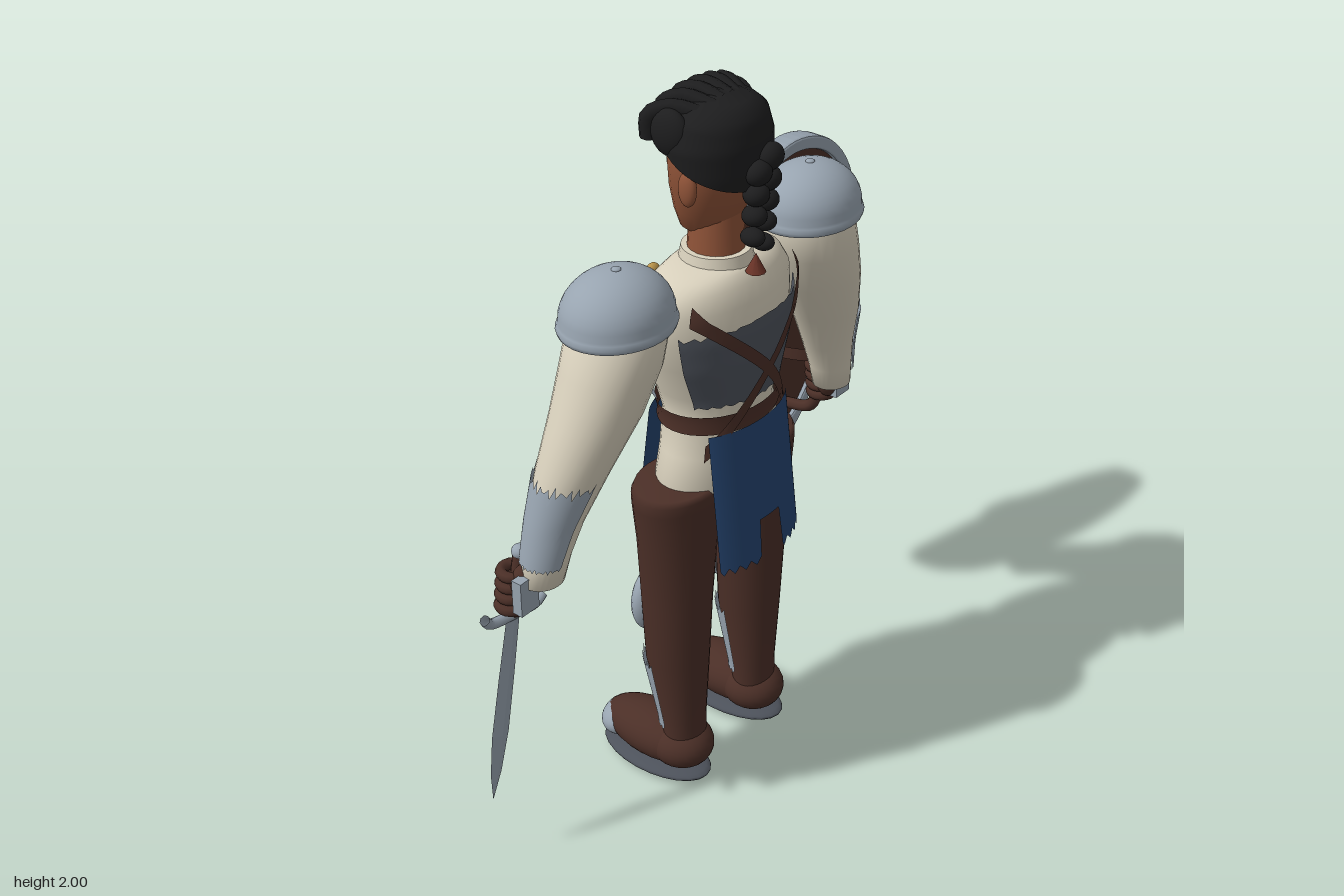
import * as THREE from 'three';

const mat = (name, color, side = THREE.FrontSide) => Object.assign(new THREE.MeshStandardMaterial({ color, side }), { name });
const { PI, sin, cos, abs, max } = Math;

// Grid surface from a rule f(u, v); outward = dv x du
function grid(nu, nv, f, closed) {
  const pos = [], idx = [], w = closed ? nu : nu + 1;
  for (let j = 0; j <= nv; j++) for (let i = 0; i < w; i++) pos.push(...f(i / nu, j / nv));
  for (let j = 0; j < nv; j++) for (let i = 0; i < nu; i++) {
    const k = (i + 1) % w, a = j * w + i, b = a + w, c = j * w + k, d = c + w;
    idx.push(a, b, c, c, b, d);
  }
  const g = new THREE.BufferGeometry();
  g.setAttribute('position', new THREE.Float32BufferAttribute(pos, 3));
  g.setIndex(idx);
  g.computeVertexNormals();
  return g;
}

// Rings are [y, cx, cz, rx, rz]
const onRing = ([y, cx, cz, rx, rz], t, o = 0) => [cx + (rx + o) * cos(t), y, cz + (rz + o) * sin(t)];
const loft = (rings, n = 28) =>
  grid(n, rings.length - 1, (u, v) => onRing(rings[Math.round(v * (rings.length - 1))], u * 2 * PI), true);
function ringAt(rings, y) {
  let i = 0;
  while (i < rings.length - 2 && rings[i + 1][0] < y) i++;
  const a = rings[i], b = rings[i + 1], k = Math.min(1, max(0, (y - a[0]) / (b[0] - a[0])));
  return [y, ...[1, 2, 3, 4].map(n => a[n] + (b[n] - a[n]) * k)];
}
// Part of a loft around angle mid, with its edges given by functions of the angle
const shell = (rings, mid, half, bot, top, o = 0, nu = 32, nv = 14) =>
  grid(nu, nv, (u, v) => {
    const t = mid + (u * 2 - 1) * half, lo = bot(t), hi = top(t);
    return onRing(ringAt(rings, lo + (hi - lo) * v), t, o);
  }, half >= PI);

export function createModel() {
  const D = THREE.DoubleSide;
  const skin = mat('skin', 0x8f5338), hair = mat('hair', 0x1d1d1e, D), cream = mat('cream cloth', 0xd9d1bd);
  const brown = mat('brown leather', 0x4b2f27, D), blue = mat('blue cloth', 0x25446f, D), steel = mat('steel', 0x98a4b0, D);
  const dark = mat('dark steel', 0x4d525b, D), gold = mat('gold', 0xb8934a), lip = mat('lips', 0x6b3428);

  const model = new THREE.Group(), body = new THREE.Group();
  body.name = 'body';
  body.position.x = -0.095;
  model.add(body);
  const add = (parent, name, geo, m, x = 0, y = 0, z = 0) => {
    const o = new THREE.Mesh(geo, m);
    o.name = name;
    o.position.set(x, y, z);
    parent.add(o);
    return o;
  };
  const ball = (parent, name, m, x, y, z, sx, sy, sz) => {
    const o = add(parent, name, new THREE.SphereGeometry(1, 24, 16), m, x, y, z);
    o.scale.set(sx, sy, sz);
    return o;
  };
  const box = (parent, name, m, x, y, z, w, h, d) => add(parent, name, new THREE.BoxGeometry(w, h, d), m, x, y, z);
  const tube = (parent, name, m, pts, r, n = 20) =>
    add(parent, name, new THREE.TubeGeometry(new THREE.CatmullRomCurve3(pts.map(p => new THREE.Vector3(...p))), n, r, 8), m);

  // Torso
  const torso = [[0.768, 0, 0.13, 0.001, 0.001], [0.78, 0, 0.13, 0.05, 0.07], [0.84, 0, 0.12, 0.13, 0.1], [0.9, 0, 0.11, 0.19, 0.12],
    [0.965, 0, 0.11, 0.208, 0.128], [1.05, 0, 0.11, 0.185, 0.125], [1.15, 0, 0.107, 0.165, 0.125], [1.22, 0, 0.1, 0.18, 0.138],
    [1.32, 0, 0.095, 0.222, 0.152], [1.4, 0, 0.095, 0.24, 0.152], [1.47, 0, 0.097, 0.245, 0.138], [1.515, 0, 0.1, 0.215, 0.118],
    [1.537, 0, 0.1, 0.17, 0.1], [1.55, 0, 0.1, 0.09, 0.085], [1.551, 0, 0.1, 0.001, 0.001]];
  add(body, 'shirt', loft(torso, 36), cream);
  add(body, 'collar', new THREE.CylinderGeometry(0.088, 0.1, 0.06, 28), cream, 0, 1.545, 0.1);
  add(body, 'neck', new THREE.CylinderGeometry(0.066, 0.075, 0.15, 20), skin, 0, 1.61, 0.1);
  const jag = (t, a) => a * abs(((t * 5) % 1 + 1) % 1 - 0.5);
  add(body, 'breastplate', shell(torso, -PI / 2, 1.3, () => 1.2, t => 1.42 + 0.06 * cos(t) ** 2, 0.017), steel);
  add(body, 'backplate', shell(torso, PI / 2, 1.12, t => 1.2 + jag(t, 0.02), t => 1.43 - jag(t, 0.04) * abs(cos(t)), 0.012), dark);
  add(body, 'belt', shell(torso, 0, PI, () => 1.125, () => 1.177, 0.013, 36, 2), brown);
  for (const s of [-1, 1]) {
    const strap = shell(torso, PI / 2, 0.95, t => 1.28 + s * cos(t) * 0.25 - 0.02, t => 1.28 + s * cos(t) * 0.25 + 0.025, 0.024, 24, 2);
    add(body, 'crossStrap', strap, brown);
    ball(body, 'button', gold, s * 0.1, 1.5, -0.02, 0.022, 0.022, 0.016);
  }

  // Split cloth panels, back and front
  const hem = t => (abs(cos(t)) < 0.22 ? 0.85 : 0.725 + jag(t, 0.04));
  const panel = (c0, c1) => [[0.72, 0, c1, 0.195, 0.1], [1.14, 0, c0, 0.19, 0.1]];
  add(body, 'backTabard', shell(panel(0.148, 0.195), PI / 2, 1.0, hem, () => 1.13, 0, 60, 6), blue);
  add(body, 'frontTabard', shell(panel(0.065, 0.015), -PI / 2, 1.0, hem, () => 1.13, 0, 60, 6), blue);

  // Head and face
  const head = [[1.598, 0, 0.065, 0.001, 0.001], [1.603, 0, 0.065, 0.035, 0.045], [1.625, 0, 0.07, 0.065, 0.068], [1.68, 0, 0.082, 0.095, 0.088],
    [1.75, 0, 0.095, 0.122, 0.104], [1.82, 0, 0.1, 0.132, 0.11], [1.9, 0, 0.105, 0.122, 0.108], [1.95, 0, 0.105, 0.09, 0.085], [1.97, 0, 0.105, 0.001, 0.001]];
  add(body, 'head', loft(head), skin);
  ball(body, 'nose', skin, 0, 1.735, -0.004, 0.02, 0.022, 0.02);
  ball(body, 'noseBridge', skin, 0, 1.765, 0, 0.012, 0.04, 0.013);
  ball(body, 'lips', lip, 0, 1.678, -0.003, 0.036, 0.01, 0.009);
  for (const s of [-1, 1]) {
    ball(body, 'ear', skin, s * 0.135, 1.775, 0.12, 0.016, 0.045, 0.026);
    ball(body, 'eye', cream, s * 0.05, 1.79, -0.001, 0.022, 0.01, 0.008).rotation.y = -s * 0.4;
    ball(body, 'iris', hair, s * 0.048, 1.79, -0.007, 0.009, 0.01, 0.004);
    const brow = box(body, 'brow', hair, s * 0.054, 1.822, -0.004, 0.055, 0.011, 0.012);
    brow.rotation.set(0, -s * 0.38, s * 0.14);
  }

  // Hair: cap, swept locks and a braid
  const cap = [[1.74, 0, 0.113, 0.132, 0.108], [1.8, 0, 0.108, 0.148, 0.118], [1.87, 0, 0.105, 0.152, 0.122], [1.93, 0, 0.105, 0.132, 0.11],
    [1.965, 0, 0.105, 0.09, 0.08], [1.982, 0, 0.105, 0.001, 0.001]];
  add(body, 'hairCap', shell(cap, 0, PI, t => 1.825 - 0.065 * sin(t), () => 1.982, 0, 36, 14), hair);
  for (let i = 0; i < 6; i++) {
    const x = -0.115 + i * 0.046, lift = 0.03 * (1 - (x / 0.14) ** 2);
    tube(body, 'lock', hair, [[x * 0.6, 1.93 + lift, 0.13], [x * 0.9, 1.945 + lift, 0.05], [x * 1.15, 1.925 + lift * 0.8, 0.003],
      [x * 1.25 + 0.012, 1.875 + (i % 2) * 0.02, -0.002]], 0.021, 12);
  }
  for (const s of [-1, 1]) ball(body, 'sideLock', hair, s * 0.125, 1.9, 0.06, 0.03, 0.06, 0.055);
  for (let i = 0; i < 9; i++) {
    const r = 0.04 - i * 0.0018;
    ball(body, 'braidBead', hair, 0.02 - i * 0.003 + (i % 2 ? -0.021 : 0.021), 1.83 - i * 0.027, 0.228, r, r * 0.85, 0.032);
  }
  add(body, 'braidTie', new THREE.ConeGeometry(0.026, 0.05, 10), lip, 0, 1.563, 0.222);

  for (const s of [-1, 1]) {
    const side = rings => rings.map(([y, x, ...r]) => [y, x * s, ...r]);

    // Legs, armour and boots
    const leg = side([[0.1, 0.155, 0.118, 0.066, 0.056], [0.2, 0.155, 0.115, 0.066, 0.058], [0.4, 0.157, 0.096, 0.088, 0.086],
      [0.6, 0.158, 0.096, 0.098, 0.094], [0.8, 0.155, 0.097, 0.117, 0.1], [0.92, 0.15, 0.097, 0.139, 0.106], [0.95, 0.15, 0.097, 0.141, 0.106],
      [0.966, 0.15, 0.097, 0.133, 0.1], [0.968, 0.15, 0.097, 0.001, 0.001]]);
    add(body, 'leg', loft(leg), brown);
    add(body, 'shinPlate', shell(leg, -PI / 2, 1.45, t => 0.175 + jag(t, 0.03), t => 0.38 + jag(t, 0.07), 0.01, 40), steel);
    ball(body, 'kneePad', steel, s * 0.158, 0.55, 0.012, 0.077, 0.1, 0.042);
    ball(body, 'bootAnkle', brown, s * 0.16, 0.1, 0.11, 0.088, 0.07, 0.092);
    ball(body, 'boot', brown, s * 0.165, 0.1, 0.025, 0.088, 0.073, 0.172);
    ball(body, 'toeCap', steel, s * 0.165, 0.09, -0.092, 0.076, 0.05, 0.06);
    ball(body, 'sole', dark, s * 0.165, 0.024, 0.025, 0.094, 0.024, 0.178);

    // Arms and shoulder domes
    const arm = side([[0.874, 0.603, 0.04, 0.001, 0.001], [0.88, 0.603, 0.04, 0.058, 0.052], [0.95, 0.588, 0.044, 0.064, 0.058],
      [1.04, 0.56, 0.052, 0.077, 0.068], [1.17, 0.513, 0.073, 0.1, 0.088], [1.31, 0.445, 0.094, 0.125, 0.108], [1.42, 0.4, 0.102, 0.13, 0.12],
      [1.51, 0.375, 0.105, 0.127, 0.12], [1.56, 0.37, 0.105, 0.09, 0.09], [1.57, 0.37, 0.105, 0.001, 0.001]]);
    add(body, 'sleeve', loft(arm), cream);
    add(body, 'forearmPlate', shell(arm, s > 0 ? 0 : PI, 1.35, t => 0.93 + jag(t, 0.03), t => 1.14 + jag(t, 0.08), 0.007), steel);
    const dome = [[0.001, 0.005], [0.14, 0], [0.153, 0.004], [0.157, 0.015], [0.153, 0.026], [0.15, 0.032]];
    for (let i = 1; i <= 10; i++) dome.push([0.15 * cos(i * PI / 20) + 0.0005, 0.032 + 0.118 * sin(i * PI / 20)]);
    const p = add(body, 'shoulderDome', new THREE.LatheGeometry(dome.map(q => new THREE.Vector2(...q)), 36), steel, s * 0.377, 1.51, 0.105);
    p.scale.z = 0.87;
    ball(body, 'shoulderStud', steel, s * 0.377, 1.66, 0.105, 0.012, 0.006, 0.012);

    // Gripping hands
    ball(body, 'palm', brown, s * 0.635, 0.865, 0.01, 0.042, 0.06, 0.034);
    box(body, 'handPlate', steel, s * 0.656, 0.86, 0.03, 0.062, 0.098, 0.03);
    for (let i = 0; i < 4; i++)
      add(body, 'finger', new THREE.TorusGeometry(0.031, 0.015, 8, 18), brown, s * (0.65 - i * 0.004), 0.8 + i * 0.031, -0.025).rotation.x = PI / 2;
  }

  // Sword
  const sword = new THREE.Group();
  sword.name = 'sword';
  sword.position.set(-0.738, 0.76, -0.03);
  sword.rotation.set(0.03, 0, -0.175);
  model.add(sword);
  const edge = [[0.56, 0.001], [0.48, 0.02], [0.36, 0.031], [0.18, 0.029], [0, 0.024]];
  add(sword, 'blade', loft(edge.map(([y, r]) => [-y, 0, 0, r, r * 0.28]), 4).toNonIndexed(), steel).geometry.computeVertexNormals();
  tube(sword, 'guard', steel, [[-0.105, 0.022, 0], [-0.085, 0.004, 0], [0, 0, 0], [0.085, 0.004, 0], [0.105, 0.022, 0]], 0.014);
  add(sword, 'grip', new THREE.CylinderGeometry(0.018, 0.018, 0.17, 12), brown, 0, 0.085, 0);
  ball(sword, 'pommel', steel, 0, 0.18, 0, 0.022, 0.02, 0.022);

  // Shield
  const shield = new THREE.Group();
  shield.name = 'shield';
  shield.position.set(0.537, 1.18, 0);
  model.add(shield);
  const half = [[0.09, -0.495], [0.195, -0.32], [0.283, -0.12], [0.306, 0.05], [0.265, 0.22], [0.16, 0.335]];
  const ring = [[0, -0.565], ...half, [0, 0.383], ...half.map(([x, y]) => [-x, y]).reverse()];
  const outline = new THREE.CatmullRomCurve3(ring.map(([x, y]) => new THREE.Vector3(x, y, 0)), true);
  const loop = outline.getPoints(80).slice(0, 80);
  const scaled = k => loop.map(q => new THREE.Vector2(q.x * k, q.y * k));
  const rim = new THREE.Shape(scaled(0.98));
  rim.holes.push(new THREE.Path(scaled(0.91)));
  add(shield, 'shieldRim', new THREE.ExtrudeGeometry(rim, { depth: 0.044, bevelThickness: 0.009, bevelSize: 0.006, bevelSegments: 2 }), steel, 0, 0, -0.178);
  add(shield, 'shieldBack', new THREE.ShapeGeometry(new THREE.Shape(scaled(0.92))), brown, 0, 0, -0.138);
  const domeZ = k => -0.165 - 0.09 * (1 - k * k);
  add(shield, 'shieldFace', grid(80, 12, (u, v) => {
    const q = loop[Math.round(u * 80) % 80], k = max(0.001, 1 - v);
    return [q.x * k * 0.93, q.y * k * 0.93, domeZ(k)];
  }, true), blue);

  // Sun boss
  ball(shield, 'sunDisc', gold, 0, -0.05, -0.252, 0.1, 0.1, 0.05);
  for (let i = 0; i < 12; i++) {
    const a = i * PI / 6 + 0.1, len = i % 2 ? 0.09 : 0.12, dir = new THREE.Vector3(cos(a), sin(a), 0.3).normalize();
    const r = 0.075 + len / 2;
    const ray = add(shield, 'sunRay', new THREE.ConeGeometry(0.02, len, 6), gold, cos(a) * r, -0.05 + sin(a) * r, -0.242);
    ray.quaternion.setFromUnitVectors(new THREE.Vector3(0, 1, 0), dir);
  }

  // Arm strap and hand grip
  const strap = [[0.942, 0.53, -0.13, 0.1, 0.15], [0.98, 0.53, -0.13, 0.1, 0.15]];
  add(model, 'shieldStrap', shell(strap, PI / 2, PI / 2, () => 0.942, () => 0.98, 0, 24, 1), brown);
  tube(model, 'shieldGrip', brown, [[0.55, 0.93, -0.025], [0.545, 0.82, -0.027], [0.537, 0.75, -0.05], [0.535, 0.725, -0.14]], 0.018);
  return model;
}
